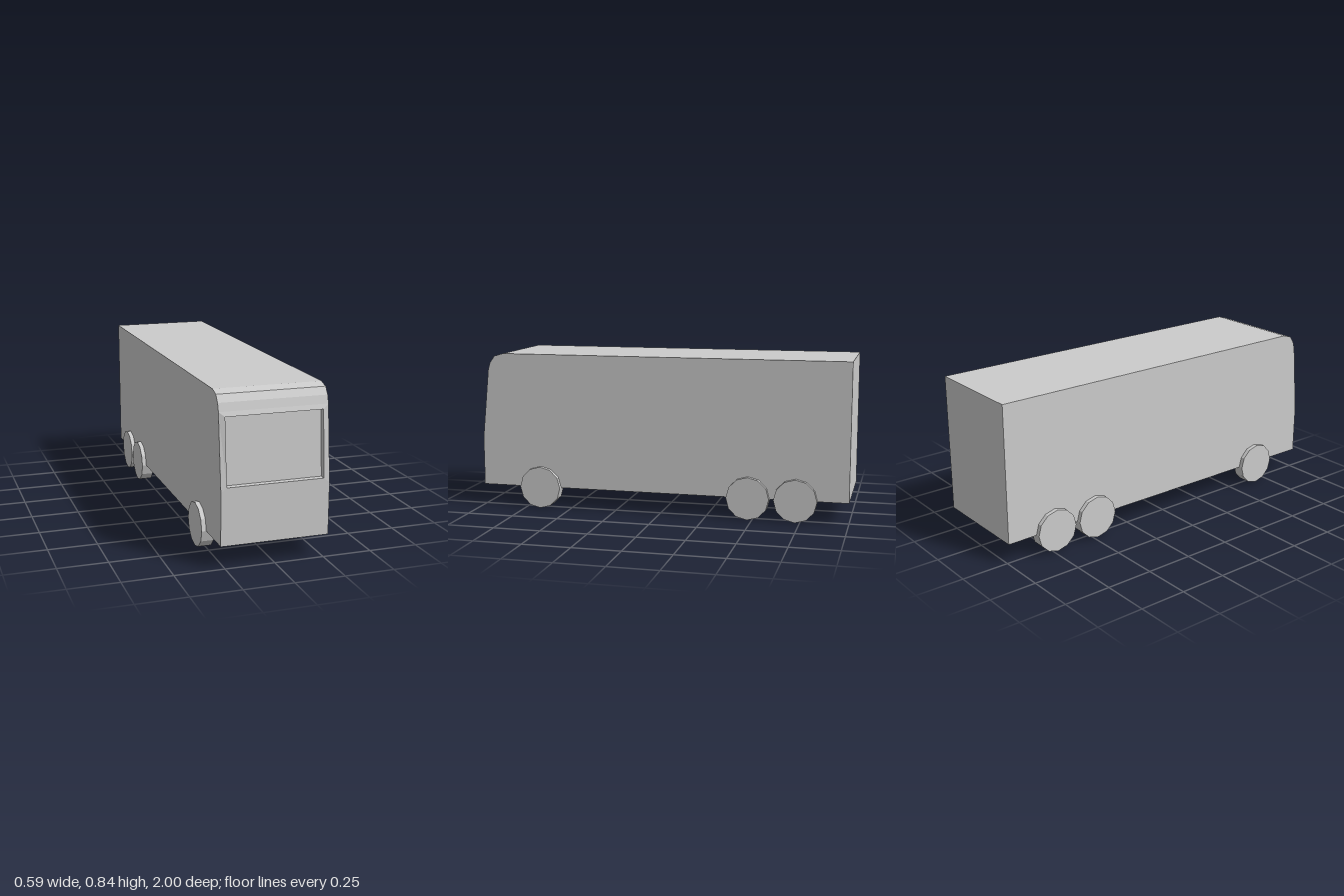
import * as THREE from 'three';

const W = 0.272; // half width of the body
const material = new THREE.MeshStandardMaterial({ color: 0xcccccc, flatShading: true });

// Geometry from polygons, each a loop of [x, y, z] corners fanned from its first corner
function polygons(list) {
  const pos = [];
  for (const p of list) {
    for (let i = 1; i < p.length - 1; i++) pos.push(...p[0], ...p[i], ...p[i + 1]);
  }
  const geo = new THREE.BufferGeometry();
  geo.setAttribute('position', new THREE.Float32BufferAttribute(pos, 3));
  geo.computeVertexNormals();
  return geo;
}

// Rectangle across the width: bottom left, bottom right, top right, top left
const rect = (w, [y0, z0], [y1, z1]) => [[-w, y0, z0], [w, y0, z0], [w, y1, z1], [-w, y1, z1]];

// Four quads joining two rectangles
const ring = (a, b) => a.map((p, i) => {
  const j = (i + 1) % 4;
  return [p, a[j], b[j], b[i]];
});

function addMesh(parent, name, geometry) {
  const mesh = new THREE.Mesh(geometry, material);
  mesh.name = name;
  parent.add(mesh);
  return mesh;
}

export function createModel() {
  const group = new THREE.Group();
  group.name = 'bus';

  // Side profile as [y, z], from the bottom front up, over the roof and down the back
  const profile = [
    [0.113, 1], [0.375, 1], [0.75, 0.962], [0.79, 0.95],
    [0.825, 0.925], [0.84, 0.875], [0.84, -1], [0.113, -1],
  ];
  const WINDOW = 1; // profile segment that holds the windscreen
  const side = (x) => profile.map(([y, z]) => [x, y, z]);
  const shell = [side(-W), side(W).reverse()];
  profile.forEach((p, i) => {
    if (i !== WINDOW) shell.push(rect(W, p, profile[(i + 1) % profile.length]));
  });
  addMesh(group, 'body', polygons(shell));

  // Raised frame around the windscreen, its recess and the pane
  const outer = rect(W, profile[WINDOW], profile[WINDOW + 1]);
  const inner = rect(0.243, [0.398, 1], [0.727, 0.972]);
  const paneRect = rect(0.243, [0.398, 0.968], [0.727, 0.94]);
  addMesh(group, 'windscreenFrame', polygons([...ring(outer, inner), ...ring(inner, paneRect)]));
  addMesh(group, 'windscreen', polygons([paneRect]));

  // Three axles of twelve-sided wheels, a vertex pointing straight down
  const R = 0.1135;
  const wheelGeo = new THREE.CylinderGeometry(R, R, 0.065, 12).rotateZ(Math.PI / 2);
  const axles = { front: 0.668, middle: -0.475, rear: -0.725 };
  for (const [axle, z] of Object.entries(axles)) {
    for (const s of [1, -1]) {
      const wheel = addMesh(group, axle + (s > 0 ? 'LeftWheel' : 'RightWheel'), wheelGeo);
      wheel.position.set(s * 0.2625, R, z);
    }
  }
  return group;
}
